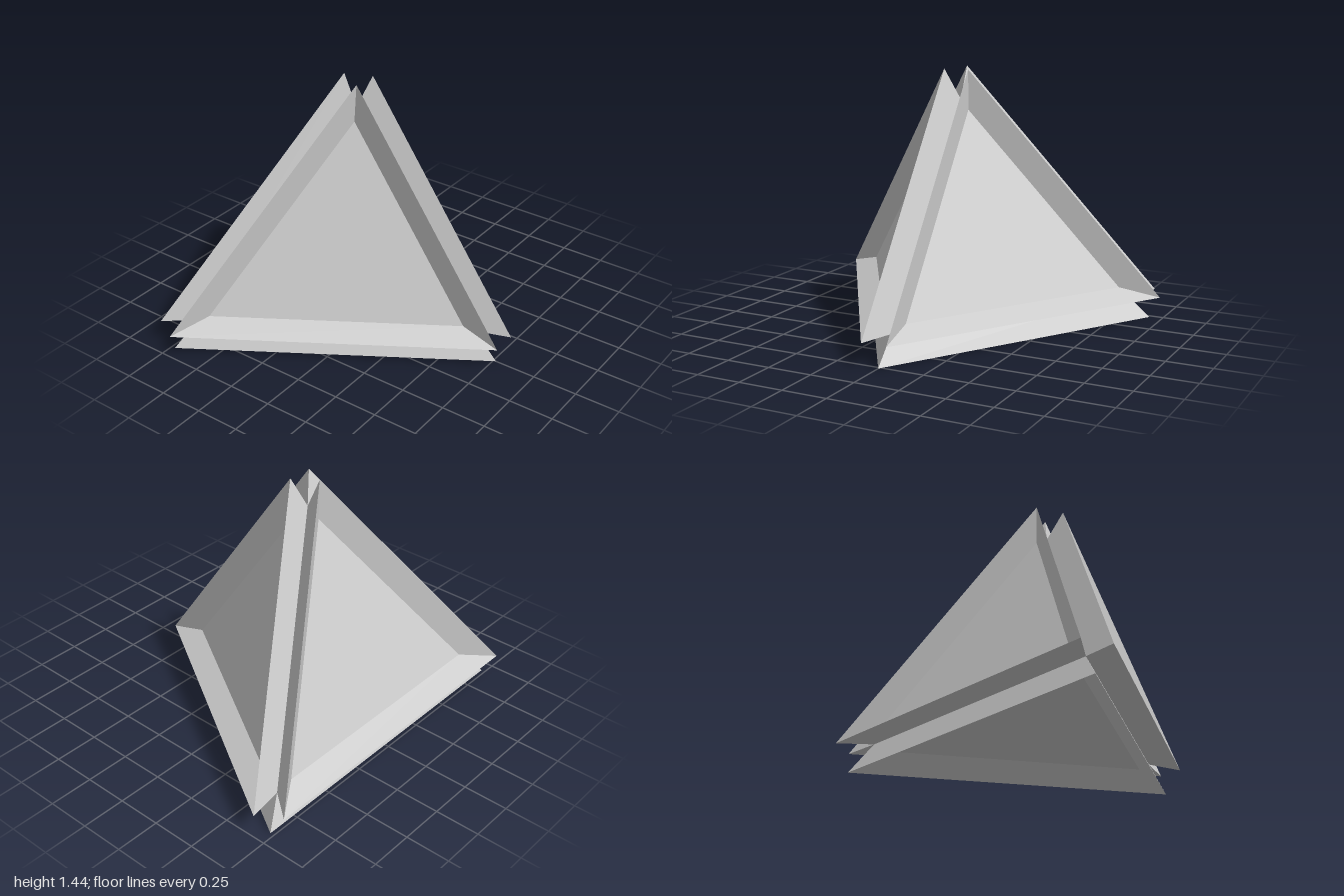
import * as THREE from 'three';

// Tetrahedral core whose four faces each carry a flared, hollowed triangular tray
export function createModel() {
  const group = new THREE.Group();
  const material = new THREE.MeshStandardMaterial({ color: 0xcccccc, flatShading: true });

  // Core corners: the V grooves between neighbouring trays meet along its edges
  const apex = new THREE.Vector3(-0.16, 1.262, 0);
  const right = new THREE.Vector3(0.63, 0.143, 0);
  const front = new THREE.Vector3(-0.66, 0.143, 0.8);
  const back = new THREE.Vector3(-0.66, 0.143, -0.8);

  // Triangle loops from the core face outward to the rim, then in to the pocket floor
  const loops = [
    { scale: 1, height: 0 },
    { scale: 1.157, height: 0.143 }, // outer rim
    { scale: 0.907, height: 0.048 }, // recessed floor
  ];

  function tray(name, a, b, c) {
    const corners = [a, b, c]; // counter-clockwise from outside
    const centre = new THREE.Vector3().add(a).add(b).add(c).divideScalar(3);
    const normal = new THREE.Triangle(a, b, c).getNormal(new THREE.Vector3());
    const rings = loops.map(({ scale, height }) => corners.map((p) =>
      p.clone().sub(centre).multiplyScalar(scale).add(centre).addScaledVector(normal, height)));

    const points = [];
    for (let r = 0; r < rings.length - 1; r++) {
      for (let i = 0; i < 3; i++) {
        const j = (i + 1) % 3;
        const [p, q, s, t] = [rings[r][i], rings[r][j], rings[r + 1][j], rings[r + 1][i]];
        points.push(p, q, s, p, s, t);
      }
    }
    points.push(...rings[rings.length - 1]); // pocket floor

    const geometry = new THREE.BufferGeometry().setFromPoints(points);
    geometry.computeVertexNormals();
    const mesh = new THREE.Mesh(geometry, material);
    mesh.name = name;
    group.add(mesh);
  }

  tray('frontTray', apex, front, right);
  tray('rearTray', apex, right, back);
  tray('leftSideTray', apex, back, front);
  tray('bottomTray', right, front, back);

  group.name = 'hollowedTetrahedron';
  return group;
}
